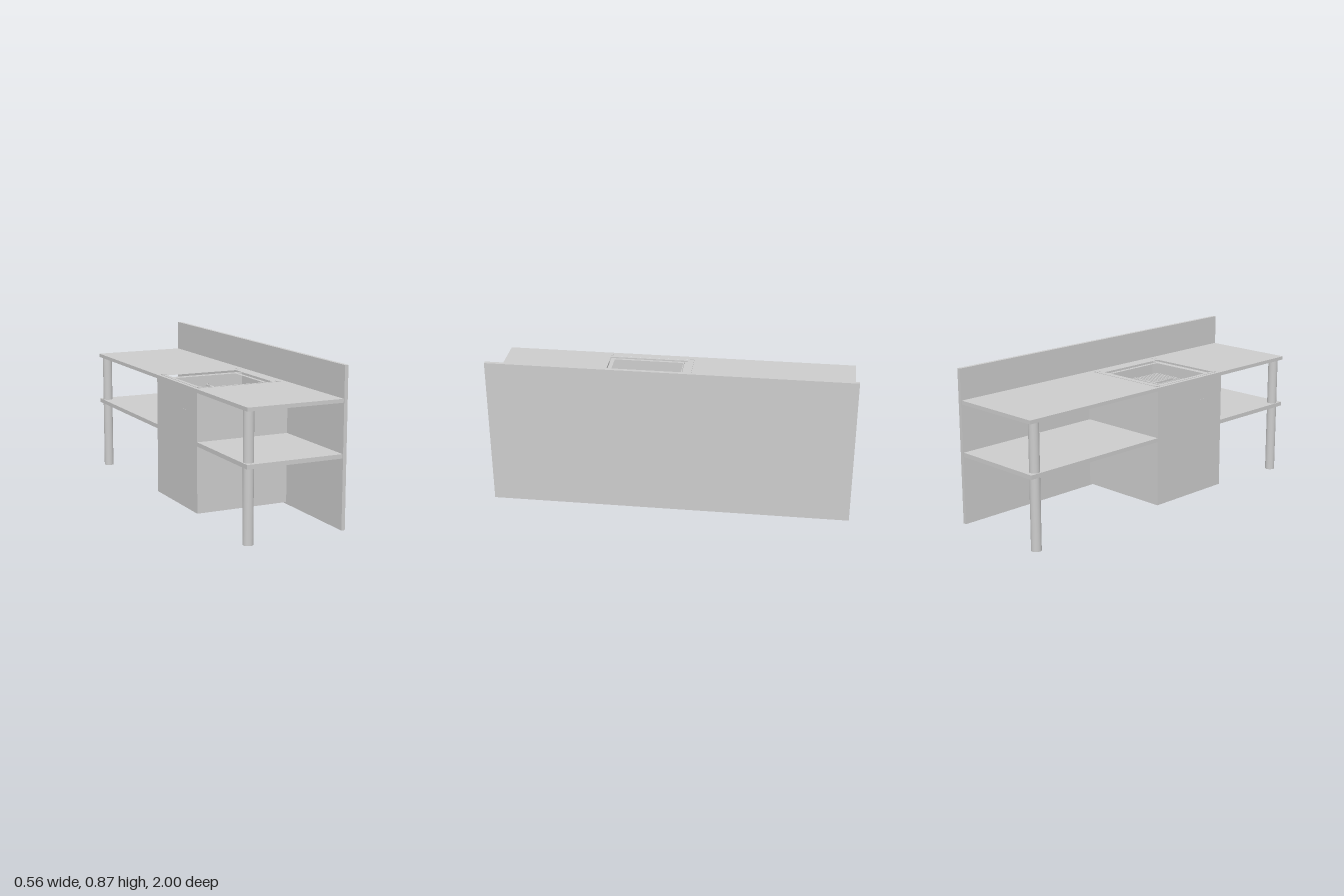
import * as THREE from 'three';

const grey = new THREE.MeshStandardMaterial({ color: 0xcccccc });

export function createModel() {
  const model = new THREE.Group();

  const add = (parent, name, geometry) => {
    const mesh = new THREE.Mesh(geometry, grey);
    mesh.name = name;
    parent.add(mesh);
    return mesh;
  };
  // box given by its limits on each axis
  const box = (parent, name, x0, x1, y0, y1, z0, z1) => {
    const mesh = add(parent, name, new THREE.BoxGeometry(x1 - x0, y1 - y0, z1 - z0));
    mesh.position.set((x0 + x1) / 2, (y0 + y1) / 2, (z0 + z1) / 2);
    return mesh;
  };
  const group = (name) => {
    const g = new THREE.Group();
    g.name = name;
    model.add(g);
    return g;
  };
  const rectangle = (PathType, x0, x1, z0, z1) =>
    new PathType([[x0, z0], [x1, z0], [x1, z1], [x0, z1]].map(([x, z]) => new THREE.Vector2(x, -z)));
  // horizontal plate with a rectangular opening
  const plate = (parent, name, outer, inner, y0, y1) => {
    const shape = rectangle(THREE.Shape, ...outer);
    shape.holes.push(rectangle(THREE.Path, ...inner));
    const geometry = new THREE.ExtrudeGeometry(shape, { depth: y1 - y0, bevelEnabled: false });
    geometry.rotateX(-Math.PI / 2).translate(0, y0, 0);
    return add(parent, name, geometry);
  };

  // counter, tall panel and shelves
  box(model, 'backPanel', 0.26, 0.28, 0.02, 0.87, -1, 1);
  plate(model, 'counterTop', [-0.28, 0.26, -0.995, 0.995], [-0.24, 0.19, -0.045, 0.4], 0.68, 0.7);
  box(model, 'rearShelf', -0.28, 0.26, 0.395, 0.418, -0.995, -0.09);
  box(model, 'frontShelf', -0.28, 0.26, 0.395, 0.418, 0.43, 0.995);

  // round legs
  for (const z of [-0.945, 0.945]) {
    add(model, 'leg', new THREE.CylinderGeometry(0.0275, 0.0275, 0.68, 32)).position.set(-0.247, 0.34, z);
  }

  // hollow cabinet
  const cabinet = group('cabinet');
  box(cabinet, 'cabinetBottom', -0.28, 0.26, 0.03, 0.045, -0.09, 0.43);
  box(cabinet, 'cabinetDoor', -0.28, -0.265, 0.045, 0.68, -0.09, 0.43);
  box(cabinet, 'cabinetBack', 0.245, 0.26, 0.045, 0.68, -0.09, 0.43);
  box(cabinet, 'cabinetSide', -0.265, 0.245, 0.045, 0.68, -0.09, -0.075);
  box(cabinet, 'cabinetSide', -0.265, 0.245, 0.045, 0.68, 0.415, 0.43);
  box(cabinet, 'doorSlot', -0.281, -0.28, 0.565, 0.57, 0.23, 0.3);
  box(cabinet, 'doorKnob', -0.281, -0.28, 0.56, 0.565, 0.015, 0.022);

  // recessed basin with its rim
  const basin = group('basin');
  plate(basin, 'basinWall', [-0.225, 0.175, -0.025, 0.38], [-0.22, 0.17, -0.02, 0.375], 0.58, 0.692);
  box(basin, 'basinFloor', -0.225, 0.175, 0.575, 0.58, -0.025, 0.38);
  plate(basin, 'basinChannel', [-0.24, 0.19, -0.045, 0.4], [-0.225, 0.175, -0.025, 0.38], 0.675, 0.685);
  plate(basin, 'rim', [-0.26, 0.23, -0.08, 0.41], [-0.24, 0.19, -0.045, 0.4], 0.7, 0.702);
  for (const x of [-0.25, 0.215]) {
    for (const z of [-0.065, 0.4]) {
      box(basin, 'rimCorner', x - 0.01, x + 0.014, 0.7, 0.704, z - 0.013, z + 0.01);
    }
  }

  // cross-shaped burner with end studs
  const burner = group('burner');
  const cx = -0.015, cz = 0.15;
  box(burner, 'burnerBar', cx - 0.16, cx + 0.16, 0.632, 0.64, cz - 0.006, cz + 0.006);
  box(burner, 'burnerBar', cx - 0.006, cx + 0.006, 0.632, 0.64, cz - 0.16, cz + 0.16);
  add(burner, 'burnerStem', new THREE.CylinderGeometry(0.01, 0.01, 0.06, 16)).position.set(cx, 0.608, cz);
  for (let i = 0; i < 4; i++) {
    for (const r of [0.115, 0.145]) {
      const a = i * Math.PI / 2;
      add(burner, 'burnerStud', new THREE.CylinderGeometry(0.005, 0.005, 0.008, 12))
        .position.set(cx + r * Math.cos(a), 0.643, cz + r * Math.sin(a));
    }
  }

  // two slatted grates over the front half
  const grates = group('grates');
  for (const [x0, x1] of [[-0.218, -0.02], [-0.01, 0.168]]) {
    for (const z of [0.17, 0.277, 0.368]) {
      box(grates, 'grateRail', x0, x1, 0.612, 0.62, z, z + 0.006);
    }
    const count = 14;
    for (let i = 0; i < count; i++) {
      const x = x0 + (x1 - x0 - 0.007) * i / (count - 1);
      box(grates, 'grateSlat', x, x + 0.007, 0.62, 0.628, 0.17, 0.374);
    }
  }

  // fittings on the basin floor
  add(basin, 'drain', new THREE.CylinderGeometry(0.045, 0.045, 0.012, 32)).position.set(-0.172, 0.586, 0.23);
  box(basin, 'floorBlock', 0.135, 0.17, 0.58, 0.6, 0.17, 0.24);

  return model;
}
